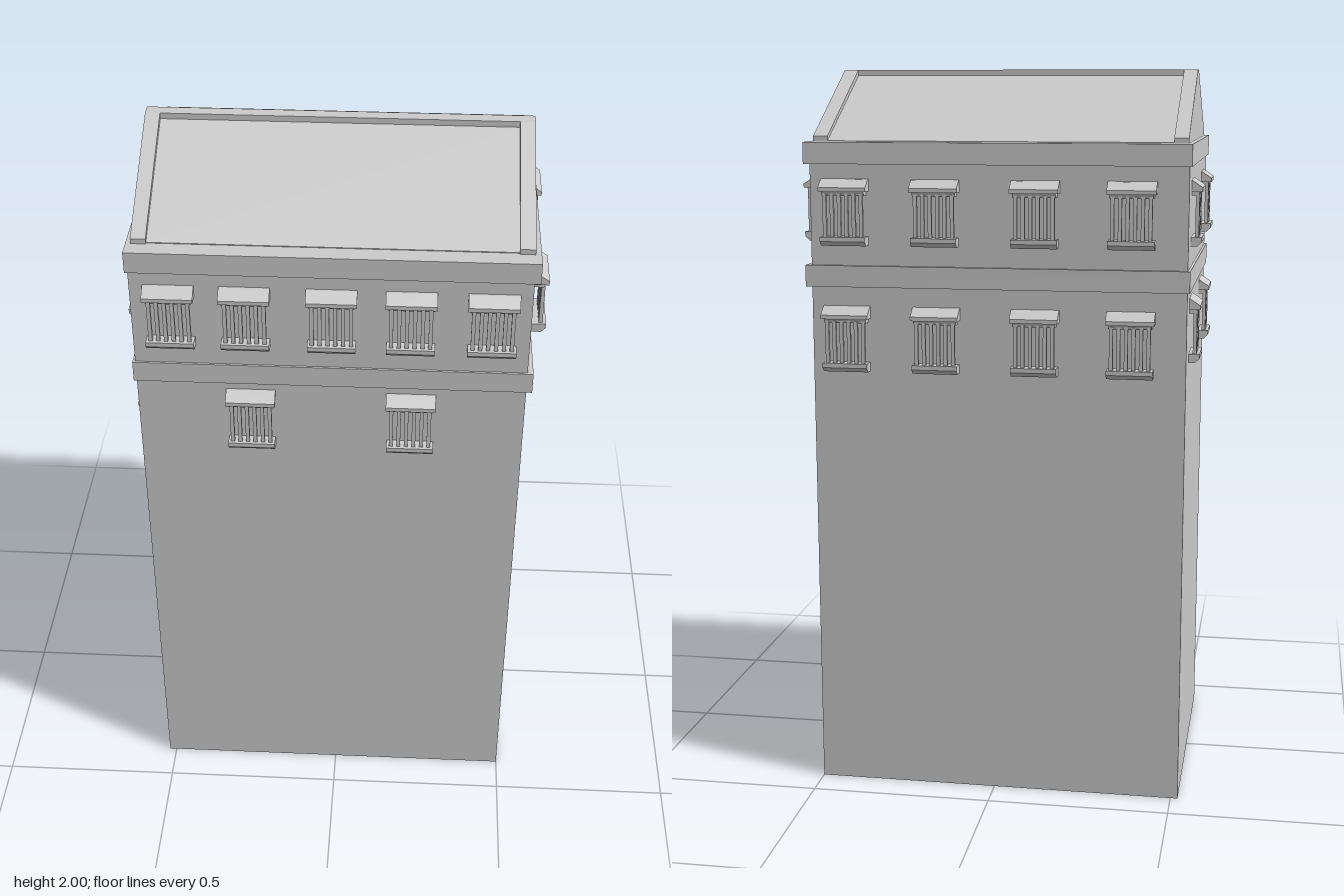
import * as THREE from 'three';

const material = new THREE.MeshStandardMaterial({ color: 0xcccccc, flatShading: true, side: THREE.DoubleSide });

function addMesh(parent, name, geometry) {
  const mesh = new THREE.Mesh(geometry, material);
  mesh.name = name;
  parent.add(mesh);
  return mesh;
}

// Box given by its lower and upper corners
function addBox(parent, name, [x0, y0, z0], [x1, y1, z1]) {
  const mesh = addMesh(parent, name, new THREE.BoxGeometry(x1 - x0, y1 - y0, z1 - z0));
  mesh.position.set((x0 + x1) / 2, (y0 + y1) / 2, (z0 + z1) / 2);
  return mesh;
}

// Extrudes a (z, y) outline along x from x0 to x1
function extrudeAlongX(points, x0, x1) {
  const shape = new THREE.Shape(points.map(([z, y]) => new THREE.Vector2(-z, y)));
  const geometry = new THREE.ExtrudeGeometry(shape, { depth: x1 - x0, bevelEnabled: false });
  return geometry.rotateY(Math.PI / 2).translate(x0, 0, 0);
}

// Caged window: origin at its bottom centre, z = 0 is the outermost plane, facing +z
const hoodGeometry = extrudeAlongX([[-0.042, 0.178], [-0.03, 0.176], [0, 0.156], [0, 0.145], [-0.042, 0.145]], -0.065, 0.065);
const lintelGeometry = extrudeAlongX([[-0.042, 0.145], [-0.008, 0.145], [-0.013, 0.134], [-0.042, 0.134]], -0.058, 0.058);
const sillGeometry = extrudeAlongX([[-0.042, 0.024], [0, 0.024], [0, 0.012], [-0.012, 0], [-0.042, 0]], -0.062, 0.062);
const barGeometry = new THREE.BoxGeometry(0.01, 0.12, 0.01).translate(0, 0.08, -0.014);

function makeWindow() {
  const win = new THREE.Group();
  win.name = 'cagedWindow';
  addMesh(win, 'windowHood', hoodGeometry);
  addMesh(win, 'windowLintel', lintelGeometry);
  addMesh(win, 'windowSill', sillGeometry);
  for (let i = 0; i < 6; i++) {
    addMesh(win, 'windowBar', barGeometry).position.x = -0.05 + i * 0.02;
  }
  return win;
}

export function createModel() {
  const model = new THREE.Group();
  model.name = 'tower';

  // Shaft: hollow, open at the bottom
  const shaft = new THREE.BoxGeometry(1.02, 1.78, 0.8).translate(-0.01, 0.89, 0);
  const index = Array.from(shaft.index.array);
  index.splice(18, 6);
  shaft.setIndex(index);
  shaft.clearGroups();
  addMesh(model, 'towerShaft', shaft);

  // String courses
  for (const [name, y0, y1] of [['lowerBand', 1.42, 1.478], ['upperBand', 1.75, 1.808]]) {
    addBox(model, name, [-0.527, y0, -0.412], [0.515, y1, 0.406]);
  }

  // Gable roof: recessed slopes between raised end copings and a ridge strip
  const roof = new THREE.Group();
  roof.name = 'roof';
  model.add(roof);
  addMesh(roof, 'roofSlopes', extrudeAlongX(
    [[-0.36, 1.8], [0.355, 1.8], [0.355, 1.81], [0.018, 1.984], [-0.018, 1.984], [-0.36, 1.81]], -0.48, 0.465));
  const coping = [[-0.36, 1.8], [0.36, 1.8], [0.36, 1.822], [0.018, 2], [-0.018, 2], [-0.36, 1.822]];
  addMesh(roof, 'endCoping', extrudeAlongX(coping, -0.514, -0.475));
  addMesh(roof, 'endCoping', extrudeAlongX(coping, 0.46, 0.5));
  addBox(roof, 'ridgeStrip', [-0.514, 1.975, -0.018], [0.5, 2, 0.018]);

  // Windows: position on each wall, outer plane and height of each row
  const backColumns = [-0.372, -0.115, 0.155, 0.403];
  const rows = [
    { side: 'front', y: 1.537, at: [-0.42, -0.227, -0.006, 0.196, 0.403] },
    { side: 'front', y: 1.222, at: [-0.22, 0.201] },
    { side: 'back', y: 1.533, at: backColumns },
    { side: 'back', y: 1.19, at: backColumns },
    { side: 'right', y: 1.535, at: [-0.24, 0.23] },
    { side: 'left', y: 1.535, at: [-0.245, 0.217] },
    { side: 'left', y: 1.22, at: [-0.245, 0.2] },
  ];
  const walls = {
    front: { turn: 0, place: (t) => [t, 0.436] },
    back: { turn: Math.PI, place: (t) => [t, -0.44] },
    right: { turn: Math.PI / 2, place: (t) => [0.546, t] },
    left: { turn: -Math.PI / 2, place: (t) => [-0.55, t] },
  };
  for (const { side, y, at } of rows) {
    for (const t of at) {
      const [x, z] = walls[side].place(t);
      const win = makeWindow();
      win.position.set(x, y, z);
      win.rotation.y = walls[side].turn;
      model.add(win);
    }
  }
  return model;
}
